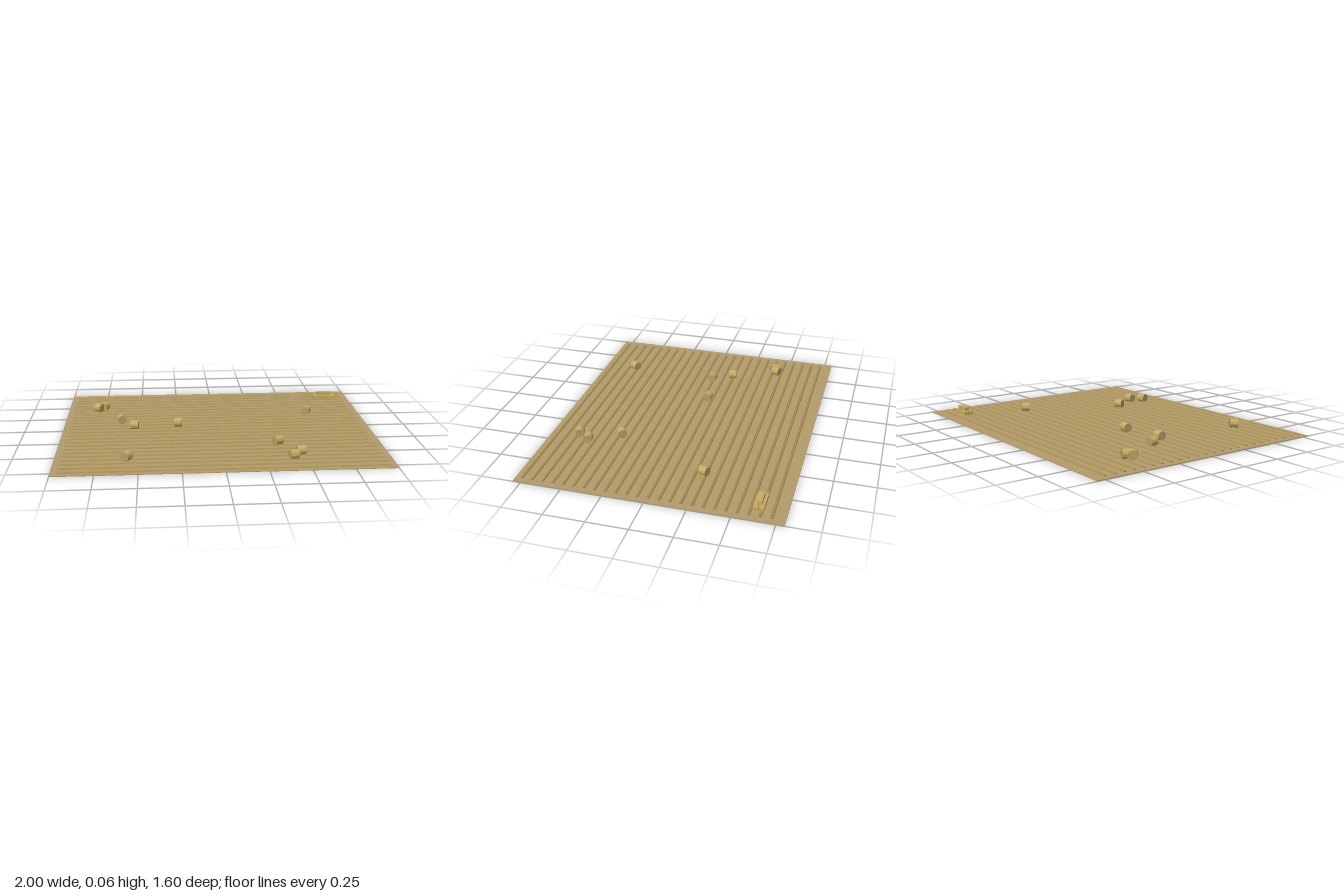
import * as THREE from 'three';

const flat = (name, color) => {
  const m = new THREE.MeshStandardMaterial({ color });
  m.name = name;
  m.flatShading = true;
  return m;
};

export function createModel() {
  const group = new THREE.Group();
  const soil = flat('soil', 0xb39b6b);
  const stubble = flat('stubble', 0xa38c52);
  const straw = flat('straw', 0xc6ab60);
  const baleEnd = flat('baleEnd', 0xb59b68);

  const add = (name, geometry, material, x, y, z) => {
    const mesh = new THREE.Mesh(geometry, material);
    mesh.name = name;
    mesh.position.set(x, y, z);
    group.add(mesh);
    return mesh;
  };

  // Thin field slab
  add('field', new THREE.BoxGeometry(2, 0.004, 1.6), soil, 0, 0.002, 0);

  // Low ridges of cut stubble running along x
  const profile = new THREE.Shape([
    new THREE.Vector2(-0.01, 0), new THREE.Vector2(0.01, 0),
    new THREE.Vector2(0.004, 0.006), new THREE.Vector2(-0.004, 0.006),
  ]);
  const ridge = new THREE.ExtrudeGeometry(profile, { depth: 1.92, bevelEnabled: false });
  ridge.translate(0, 0, -0.96).rotateY(Math.PI / 2);
  for (let i = 0; i < 24; i++) {
    add('stubbleRow', ridge, stubble, 0, 0.0035, -0.72 + i * 0.0643);
  }

  // Round bales: x, z and heading of the axis in degrees from +x towards -z
  const round = new THREE.CylinderGeometry(0.029, 0.029, 0.052, 12);
  round.rotateZ(Math.PI / 2);
  const bales = [
    [-0.79, -0.41, -42], [-0.755, -0.43, 68], [-0.625, -0.14, 98],
    [-0.538, -0.01, -4], [-0.253, -0.05, -4], [0.637, -0.257, 65],
    [0.356, 0.353, 28], [0.47, 0.537, 8], [0.417, 0.612, 17], [-0.572, 0.578, 57],
  ];
  for (const [x, z, heading] of bales) {
    const bale = add('roundBale', round, [straw, baleEnd, baleEnd], x, 0.032, z);
    bale.rotation.y = THREE.MathUtils.degToRad(heading);
  }

  // Stack of square bales: two rows of three with two on top
  const square = new THREE.BoxGeometry(0.05, 0.025, 0.031);
  for (const z of [-0.652, -0.619]) {
    for (let i = -1; i <= 1; i++) add('squareBale', square, straw, 0.834 + i * 0.052, 0.0155, z);
  }
  for (const side of [-1, 1]) add('topSquareBale', square, straw, 0.834 + side * 0.026, 0.0405, -0.6355);

  return group;
}
